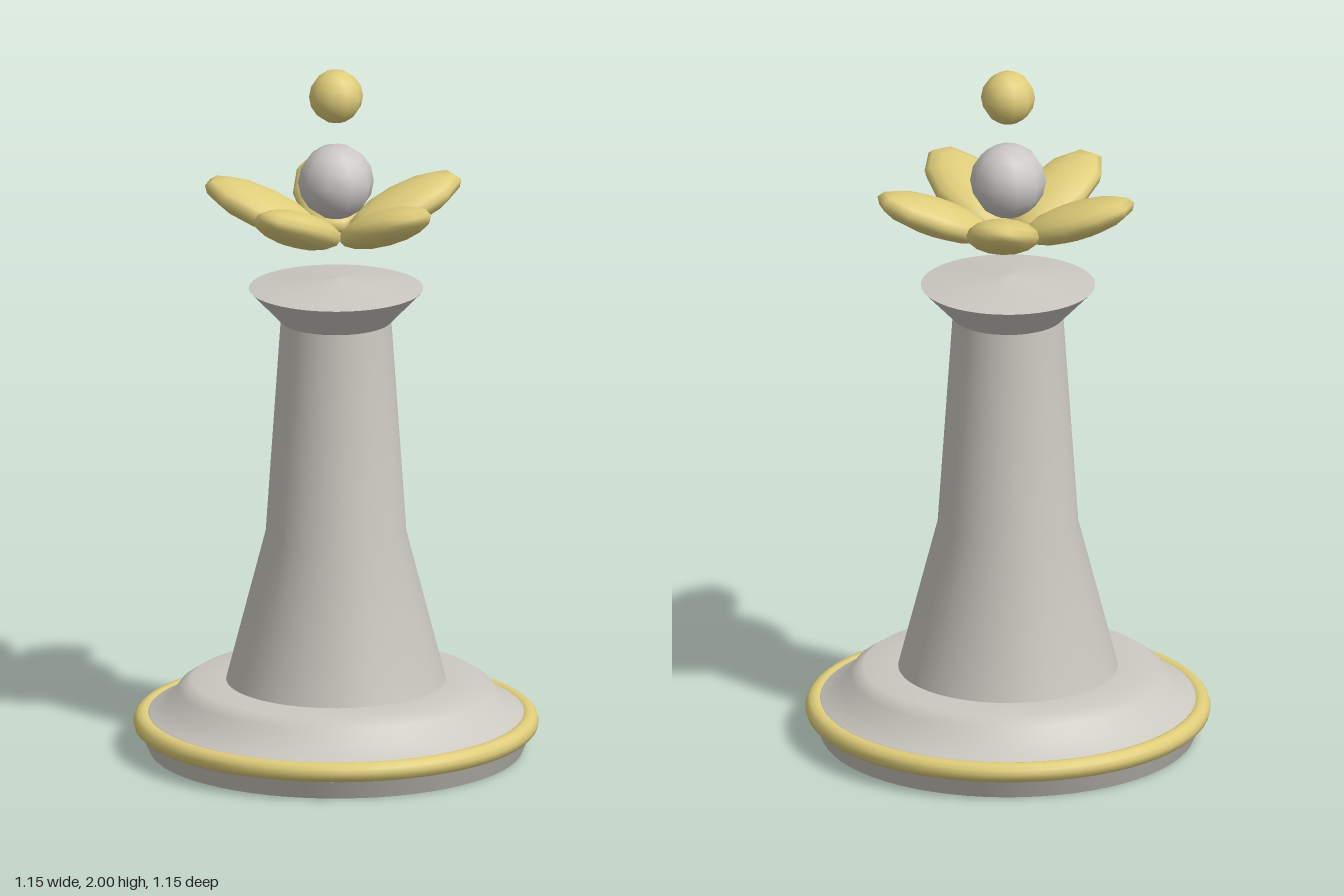
import * as THREE from 'three';

const silver = new THREE.MeshStandardMaterial({ color: 0xcbc8c0 });
silver.name = 'silver';
const pearl = new THREE.MeshStandardMaterial({ color: 0xcbc8c5 });
pearl.name = 'pearl';
const gold = new THREE.MeshStandardMaterial({ color: 0xdfcd7a });
gold.name = 'gold';

export function createModel() {
  const model = new THREE.Group();
  model.name = 'chessQueen';

  function add(name, geometry, material, parent = model) {
    const mesh = new THREE.Mesh(geometry, material);
    mesh.name = name;
    parent.add(mesh);
    return mesh;
  }

  // Each turned section is smooth within itself, with hard edges between sections
  function turned(name, profile) {
    const points = profile.map(([r, y]) => new THREE.Vector2(r, y));
    return add(name, new THREE.LatheGeometry(points, 64), silver);
  }

  // Stepped base
  turned('baseUnderside', [[0, 0], [0.53, 0]]);
  turned('baseFoot', [[0.53, 0], [0.555, 0.055]]);
  turned('baseRim', [[0.555, 0.055], [0.555, 0.095], [0.53, 0.11]]);
  turned('baseShoulder', [[0.53, 0.11], [0.475, 0.14], [0.447, 0.18], [0.41, 0.205], [0.3, 0.205]]);

  // Gold ring around the base
  const ring = add('baseRing', new THREE.TorusGeometry(0.547, 0.029, 12, 64), gold);
  ring.rotation.x = Math.PI / 2;
  ring.position.y = 0.082;

  // Tapering shaft and flared collar with a shallow conical top
  turned('shaft', [[0.312, 0.205], [0.2, 0.64], [0.157, 1.265]]);
  turned('collarFlare', [[0.157, 1.262], [0.248, 1.357]]);
  turned('collarTop', [[0.248, 1.357], [0, 1.387]]);

  // Crown of five tilted petals
  const crown = new THREE.Group();
  crown.name = 'crown';
  model.add(crown);
  const petalGeometry = new THREE.SphereGeometry(1, 10, 8).scale(0.104, 0.052, 0.184);
  for (let i = 0; i < 5; i++) {
    const arm = new THREE.Group();
    arm.name = 'petalArm';
    arm.rotation.y = Math.PI / 2 + (i * Math.PI * 2) / 5;
    const petal = add('petal', petalGeometry, gold, arm);
    petal.position.set(0, 1.58, 0.212);
    petal.rotation.x = THREE.MathUtils.degToRad(-22);
    crown.add(arm);
  }

  // Floating balls above the crown
  const pearlBall = add('crownBall', new THREE.SphereGeometry(0.108, 10, 8), pearl);
  pearlBall.position.y = 1.672;
  pearlBall.rotation.y = Math.PI / 2;
  const finial = add('finialBall', new THREE.SphereGeometry(0.077, 10, 8), gold);
  finial.position.y = 1.923;
  finial.rotation.y = Math.PI / 2;

  return model;
}
